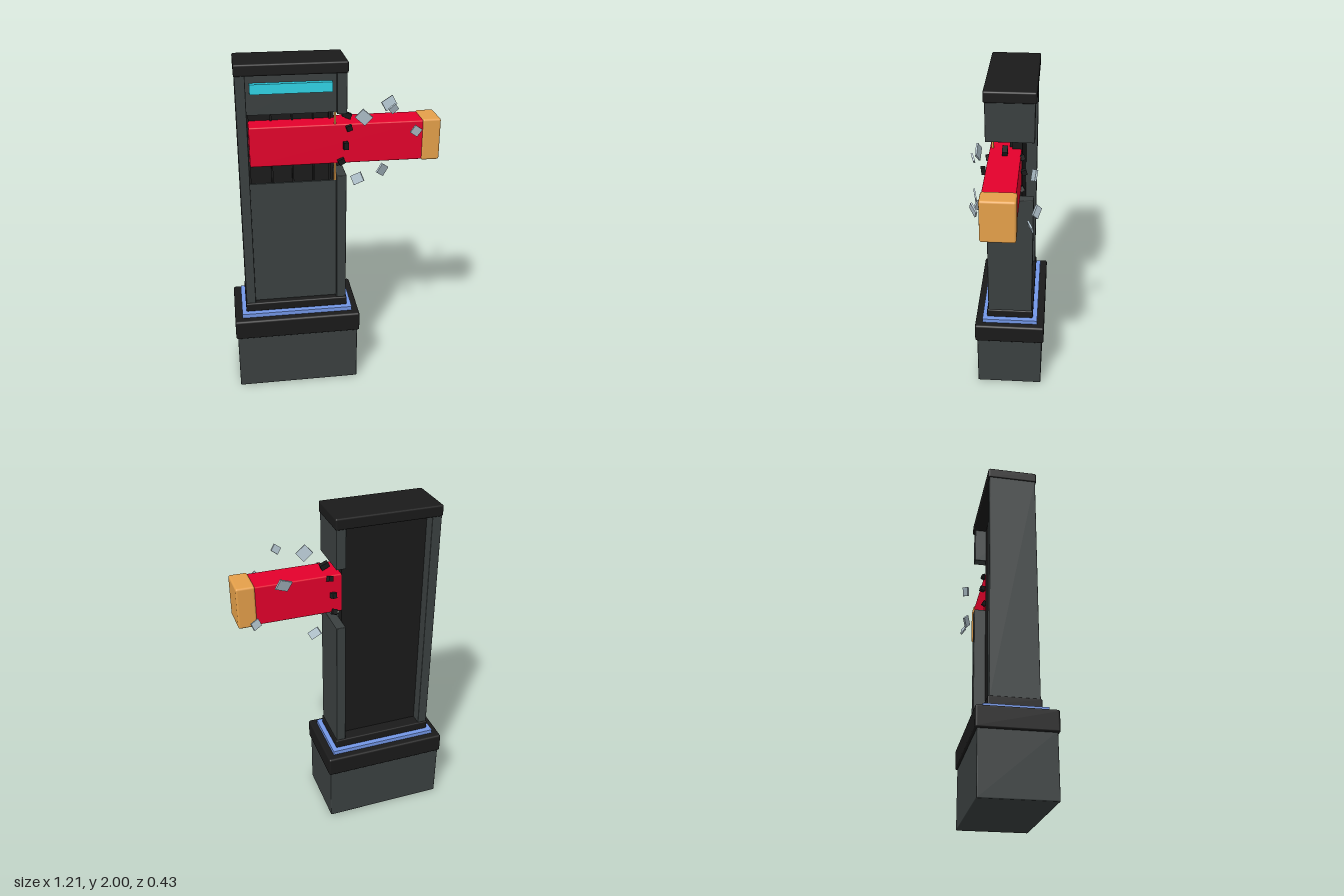
import * as THREE from 'three';
import { RoundedBoxGeometry } from 'three/addons/geometries/RoundedBoxGeometry.js';

const mat = (name, color) => {
  const m = new THREE.MeshStandardMaterial({ color });
  m.name = name;
  return m;
};

export function createModel() {
  const model = new THREE.Group();
  model.name = 'pillarWithRam';

  const grey = mat('slate grey', 0x3a4040);
  const black = mat('charcoal', 0x1a1a1a);
  const red = mat('red', 0xe4002b);
  const ochre = mat('ochre', 0xe5a04a);
  const blue = mat('blue', 0x7aa0f5);
  const cyan = mat('cyan', 0x2fd5e8);
  const silver = mat('silver grey', 0xb4c6d0);

  // Box given by its limits on each axis, with an optional softened edge
  const block = (name, material, [x0, x1], [y0, y1], [z0, z1], r = 0, parent = model) => {
    const s = [x1 - x0, y1 - y0, z1 - z0];
    const geo = r ? new RoundedBoxGeometry(...s, 2, r) : new THREE.BoxGeometry(...s);
    const mesh = new THREE.Mesh(geo, material);
    mesh.name = name;
    mesh.position.set((x0 + x1) / 2, (y0 + y1) / 2, (z0 + z1) / 2);
    parent.add(mesh);
    return mesh;
  };

  // Pedestal
  block('pedestal', grey, [-0.597, 0.134], [0, 0.36], [-0.205, 0.205], 0.006);
  block('pedestalCap', black, [-0.607, 0.146], [0.348, 0.47], [-0.217, 0.217], 0.012);
  block('glowPlate', blue, [-0.562, 0.103], [0.465, 0.495], [-0.172, 0.172]);

  // Tower shell
  const Z = [-0.136, 0.136];
  block('towerFoot', black, [-0.537, 0.076], [0.495, 0.55], [-0.144, 0.144], 0.008);
  block('towerCap', black, [-0.537, 0.076], [1.935, 2], [-0.144, 0.144], 0.01);
  block('rightWall', grey, [-0.533, -0.477], [0.54, 1.945], Z, 0.004);
  block('leftWallLower', grey, [0.014, 0.07], [0.54, 1.348], Z, 0.004);
  block('leftWallUpper', grey, [0.014, 0.07], [1.708, 1.945], Z, 0.004);
  block('backPanel', black, [-0.48, 0.016], [0.54, 1.945], [-0.067, -0.012]);
  block('lowerPanel', grey, [-0.48, 0.016], [0.54, 1.31], [0.09, 0.105]);
  block('upperPanel', grey, [-0.48, 0.016], [1.713, 1.945], [0.09, 0.105]);
  block('lightStrip', cyan, [-0.456, -0.01], [1.835, 1.89], [0.1, 0.136]);

  // Slot details
  for (const x of [-0.47, -0.342, -0.222, -0.102, -0.01]) {
    block('slotRib', black, [x - 0.005, x + 0.005], [1.25, 1.76], [-0.02, 0.005]);
  }
  block('slotTrim', ochre, [0.002, 0.012], [1.31, 1.713], [0.093, 0.105]);

  // Ram bursting through the side
  const ram = new THREE.Group();
  ram.name = 'ram';
  model.add(ram);
  block('ramBeam', red, [-0.47, 0.51], [1.415, 1.645], [-0.062, 0.115], 0.008, ram);
  block('ramTip', ochre, [0.502, 0.607], [1.41, 1.652], [-0.068, 0.12], 0.012, ram);

  // Scattered pieces: position, size, rotation
  const scatter = (name, material, items) => {
    const group = new THREE.Group();
    group.name = name + 's';
    model.add(group);
    for (const [pos, size, rot] of items) {
      const mesh = new THREE.Mesh(new THREE.BoxGeometry(...size), material);
      mesh.name = name;
      mesh.position.set(...pos);
      mesh.rotation.set(...rot);
      group.add(mesh);
    }
  };

  scatter('shard', silver, [
    [[0.158, 1.694, 0.162], [0.073, 0.066, 0.01], [0.15, -0.2, -0.7]],
    [[0.319, 1.738, 0.172], [0.047, 0.042, 0.01], [0.25, 0.25, 0.65]],
    [[0.457, 1.598, 0.15], [0.055, 0.05, 0.008], [0.12, 0.2, -0.65]],
    [[0.124, 1.342, 0.175], [0.067, 0.055, 0.01], [-0.25, -0.6, 0.4]],
    [[0.262, 1.393, 0.187], [0.065, 0.06, 0.01], [0.2, 0.55, -0.7]],
    [[0.205, 1.36, -0.158], [0.066, 0.046, 0.012], [0.35, -0.6, -0.5]],
    [[0.365, 1.674, -0.145], [0.08, 0.06, 0.01], [-0.25, 0.2, 0.5]],
    [[0.524, 1.463, -0.135], [0.052, 0.044, 0.01], [0.3, 0.35, -0.4]],
  ]);

  scatter('rubbleChunk', black, [
    [[0.085, 1.668, 0.025], [0.05, 0.03, 0.03], [0, 0, -0.4]],
    [[0.084, 1.63, -0.068], [0.03, 0.03, 0.025], [0.3, 0.4, 0.2]],
    [[0.084, 1.622, 0.12], [0.032, 0.032, 0.02], [0.1, 0.2, 0.3]],
    [[0.062, 1.53, 0.148], [0.027, 0.042, 0.025], [0.1, 0.1, 0]],
    [[0.067, 1.53, -0.078], [0.027, 0.03, 0.03], [0.2, 0.3, 0]],
    [[0.042, 1.428, 0.12], [0.038, 0.034, 0.02], [0.1, 0.2, 0.4]],
    [[0.06, 1.42, -0.068], [0.03, 0.03, 0.025], [0.5, 0.2, 0.3]],
    [[0.042, 1.392, 0.028], [0.045, 0.03, 0.03], [0, 0, 0.4]],
  ]);

  return model;
}
